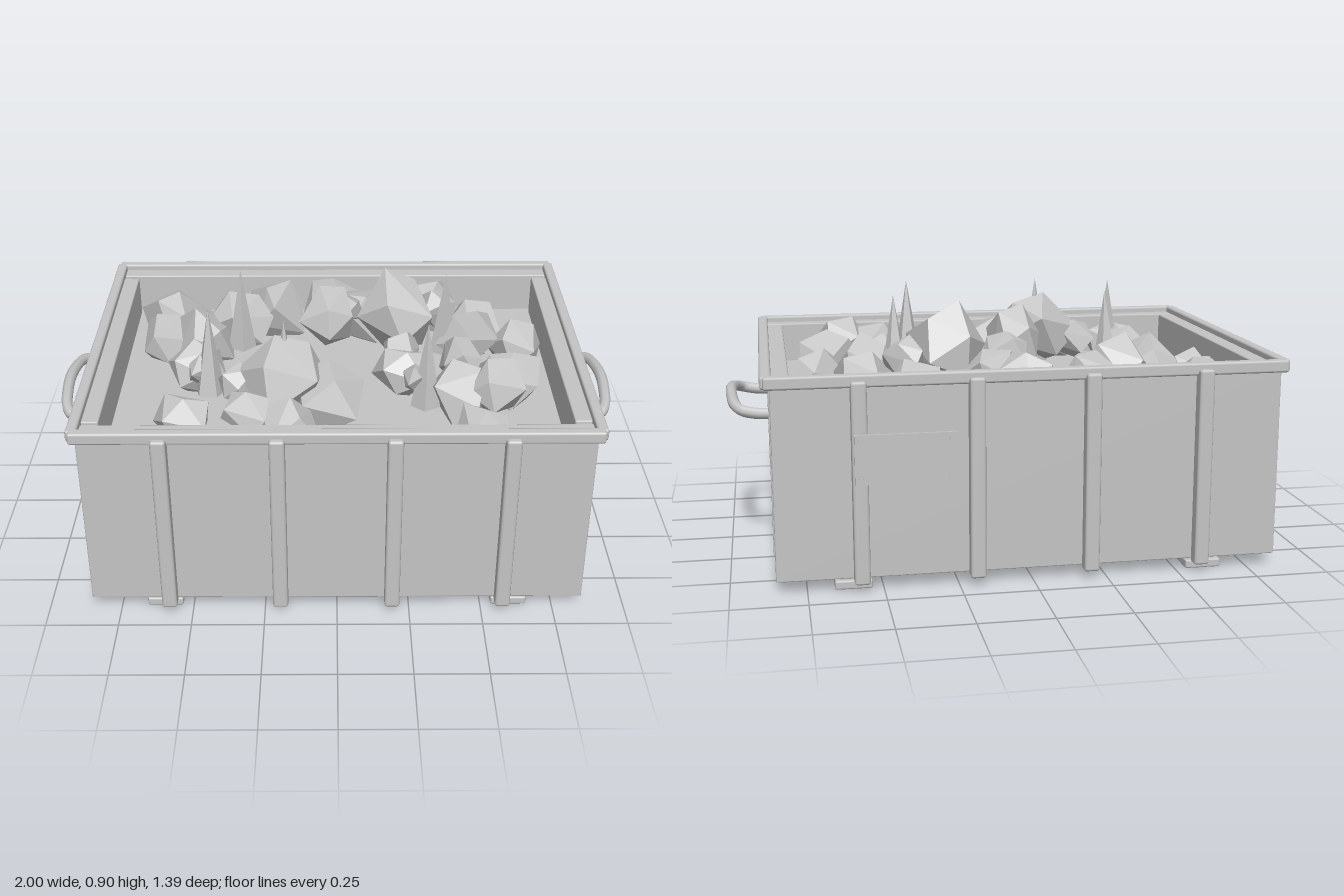
import * as THREE from 'three';
import { RoundedBoxGeometry } from 'three/addons/geometries/RoundedBoxGeometry.js';
import { ConvexGeometry } from 'three/addons/geometries/ConvexGeometry.js';

export function createModel() {
  const model = new THREE.Group();
  const crate = new THREE.Group();
  crate.name = 'crate';
  crate.position.z = 0.006;
  const load = new THREE.Group();
  load.name = 'load';
  model.add(crate, load);
  const grey = new THREE.MeshStandardMaterial({ color: 0xc4c4c4 });
  grey.name = 'plain grey';

  const add = (parent, name, geometry, x = 0, y = 0, z = 0) => {
    const mesh = new THREE.Mesh(geometry, grey);
    mesh.name = name;
    mesh.position.set(x, y, z);
    parent.add(mesh);
    return mesh;
  };
  // Crate boxes given by their limits, optionally with softened edges
  const box = (name, x0, x1, y0, y1, z0, z1, r = 0) => {
    const s = [x1 - x0, y1 - y0, z1 - z0];
    const g = r ? new RoundedBoxGeometry(...s, 1, r) : new THREE.BoxGeometry(...s);
    return add(crate, name, g, (x0 + x1) / 2, (y0 + y1) / 2, (z0 + z1) / 2);
  };
  let seed = 7;
  const rand = () => {
    seed = (seed * 16807) % 2147483647;
    return seed / 2147483647;
  };

  // Crate body: filled base, walls with inner lining, and rim
  box('base', -0.83, 0.83, 0.04, 0.55, -0.62, 0.62);
  for (const s of [-1, 1]) {
    const spanX = (name, a, b, y0, y1, half, r) =>
      box(name, Math.min(s * a, s * b), Math.max(s * a, s * b), y0, y1, -half, half, r);
    const spanZ = (name, a, b, y0, y1, half, r) =>
      box(name, -half, half, y0, y1, Math.min(s * a, s * b), Math.max(s * a, s * b), r);
    spanX('endWall', 0.79, 0.85, 0.04, 0.69, 0.645, 0.004);
    spanZ('sideWall', 0.585, 0.645, 0.04, 0.69, 0.85, 0.004);
    spanX('endLining', 0.785, 0.845, 0.52, 0.7, 0.555, 0.005);
    spanZ('sideLining', 0.57, 0.632, 0.52, 0.7, 0.845, 0.005);
    spanX('endRim', 0.842, 0.88, 0.68, 0.722, 0.648, 0.008);
    spanZ('sideRim', 0.628, 0.667, 0.68, 0.722, 0.87, 0.008);

    // Ribs on the long sides
    for (const x of [-0.578, -0.195, 0.19, 0.572])
      box('rib', x - 0.026, x + 0.026, 0.027, 0.702, s > 0 ? 0.635 : -0.687, s > 0 ? 0.687 : -0.635, 0.009);

    // Narrow upright strips on the ends
    for (const z of [-0.562, 0.565])
      box('endStrip', s * 0.845 - 0.009, s * 0.845 + 0.009, 0.11, 0.69, z - 0.012, z + 0.012, 0.003);

    // Skids underneath
    box('skid', s * 0.598 - 0.062, s * 0.598 + 0.062, 0, 0.03, -0.638, 0.638, 0.006);
    box('skidSpacer', s * 0.598 - 0.045, s * 0.598 + 0.045, 0.025, 0.045, -0.62, 0.62);

    // Bowed carrying handles
    const path = new THREE.CatmullRomCurve3([
      [0.84, 0.508, 0.218], [0.9, 0.512, 0.218], [0.943, 0.522, 0.212], [0.966, 0.534, 0.175],
      [0.979, 0.55, 0.08], [0.982, 0.556, 0], [0.979, 0.55, -0.08],
      [0.966, 0.534, -0.175], [0.943, 0.522, -0.212], [0.9, 0.512, -0.218], [0.84, 0.508, -0.218],
    ].map(([x, y, z]) => new THREE.Vector3(s * x, y, z)));
    add(crate, 'handle', new THREE.TubeGeometry(path, 40, 0.02, 8));
  }

  // Blank plate on the back with corner rivets
  box('backPlate', 0.26, 0.59, 0.368, 0.533, -0.697, -0.688);
  for (const x of [0.28, 0.57])
    for (const y of [0.388, 0.513])
      add(crate, 'rivet', new THREE.CylinderGeometry(0.007, 0.007, 0.006, 8), x, y, -0.699).rotation.x = Math.PI / 2;

  // Faceted rocks: x, z, radius, top height
  const rocks = [
    [-0.64, -0.43, 0.12, 0.7], [-0.65, -0.22, 0.11, 0.7], [-0.5, -0.2, 0.13, 0.75],
    [-0.37, -0.28, 0.13, 0.77], [-0.24, -0.4, 0.13, 0.73], [-0.02, -0.43, 0.11, 0.74],
    [0.1, -0.33, 0.11, 0.73], [0.03, -0.26, 0.08, 0.78], [-0.03, -0.13, 0.11, 0.86],
    [0.22, -0.2, 0.155, 0.89], [0.24, -0.04, 0.08, 0.72], [0.37, -0.46, 0.12, 0.73],
    [0.38, -0.27, 0.07, 0.78], [0.52, -0.27, 0.12, 0.73], [0.5, -0.13, 0.11, 0.77],
    [0.68, -0.13, 0.11, 0.72], [-0.51, 0.08, 0.1, 0.74], [0.24, 0.14, 0.1, 0.74],
    [0.45, 0.04, 0.09, 0.74], [0.62, 0.13, 0.12, 0.74], [0.43, 0.25, 0.13, 0.75],
    [0.55, 0.27, 0.11, 0.77], [0.49, 0.47, 0.1, 0.7], [-0.53, 0.39, 0.1, 0.7],
    [-0.33, 0.24, 0.08, 0.74], [-0.31, 0.41, 0.09, 0.74], [-0.18, 0.25, 0.155, 0.85],
    [-0.03, 0.27, 0.14, 0.76], [-0.17, 0.46, 0.11, 0.72], [-0.47, 0.14, 0.06, 0.73],
    [0.28, 0.24, 0.05, 0.73],
  ];
  for (const [x, z, r, top] of rocks) {
    const turn = rand() * 6;
    const points = [];
    for (let i = 0; i < 11; i++) {
      const y = 0.97 - (1.94 * i) / 10;
      const a = turn + i * 2.4 + (rand() - 0.5) * 0.7;
      const w = Math.sqrt(1 - y * y);
      const k = r * (0.92 + rand() * 0.28);
      points.push(new THREE.Vector3(w * Math.cos(a) * k, y * k * 0.95, w * Math.sin(a) * k));
    }
    const g = new ConvexGeometry(points);
    g.computeBoundingBox();
    add(load, 'rock', g, x, top - g.boundingBox.max.y, z);
  }

  // Slender crystal spikes
  for (const [x, z] of [[-0.45, 0.155], [-0.355, -0.185], [-0.18, 0.235], [0.315, 0.255], [0.405, -0.15]]) {
    const g = new THREE.ConeGeometry(0.055, 0.32, 5).toNonIndexed();
    g.computeVertexNormals();
    const spike = add(load, 'spike', g, x, 0.745, z);
    spike.rotation.set((rand() - 0.5) * 0.12, rand() * 6, (rand() - 0.5) * 0.12);
  }
  return model;
}
